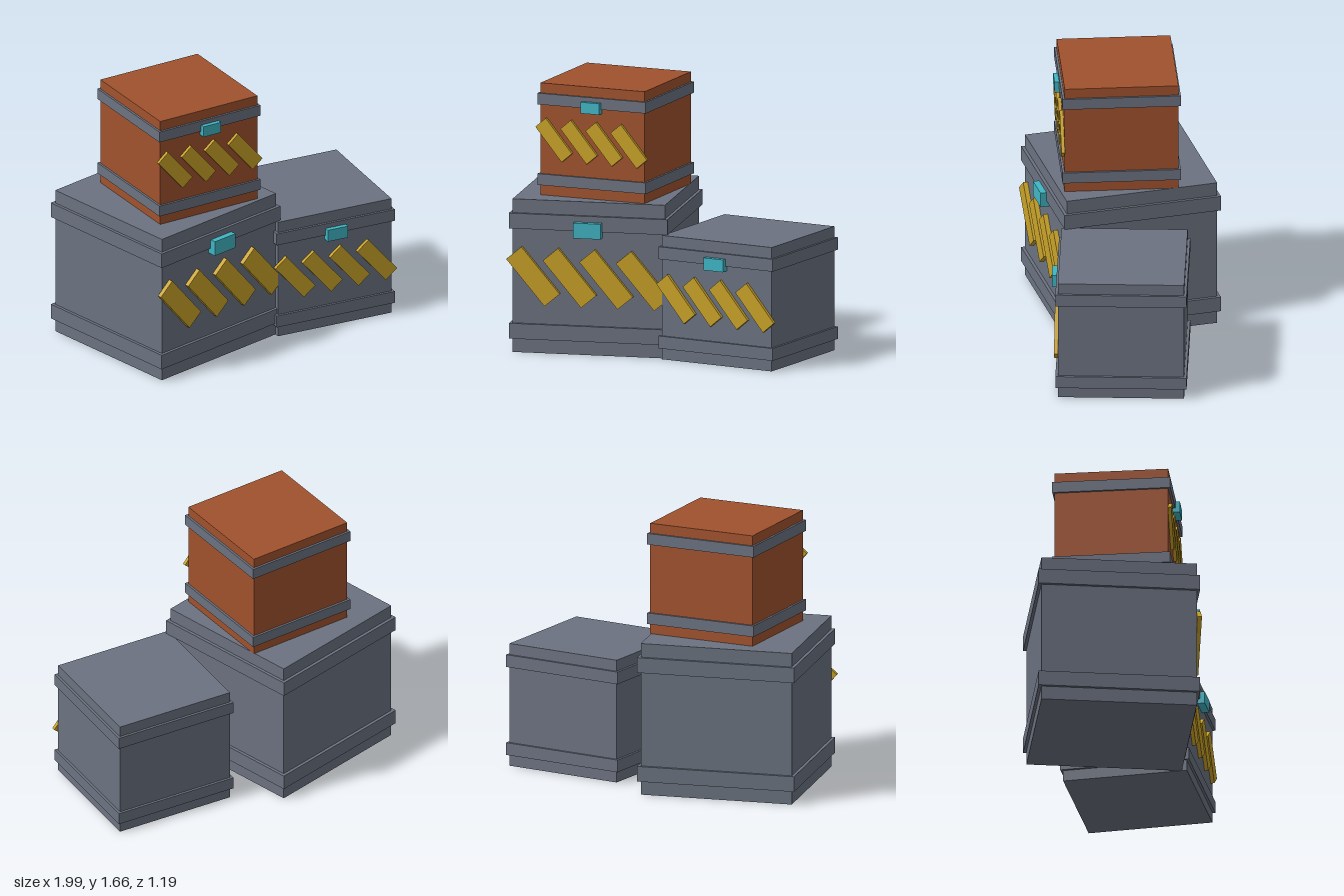
import * as THREE from 'three';

const flat = (name, color) => {
  const m = new THREE.MeshStandardMaterial({ color });
  m.name = name;
  return m;
};

export function createModel() {
  const steel = flat('steelGrey', 0x6b7280);
  const rust = flat('rustOrange', 0xa0522d);
  const yellow = flat('hazardYellow', 0xc9a227);
  const cyan = flat('latchCyan', 0x40b5c4);

  const box = (parent, name, mat, w, h, d, x, y, z) => {
    const mesh = new THREE.Mesh(new THREE.BoxGeometry(w, h, d), mat);
    mesh.name = name;
    mesh.position.set(x, y, z);
    parent.add(mesh);
    return mesh;
  };

  // One unit crate standing on its base, scaled to size and turned about y
  const crate = (name, bodyMat, size, x, y, z, turn) => {
    const g = new THREE.Group();
    g.name = name;
    box(g, 'body', bodyMat, 1, 1, 1, 0, 0.5, 0);

    // Bands wrapping the crate near its base and lid
    box(g, 'lowerBand', steel, 1.04, 0.1, 1.04, 0, 0.14, 0);
    box(g, 'upperBand', steel, 1.04, 0.1, 1.04, 0, 0.86, 0);

    // Slanted warning stripes across the front
    for (let i = 0; i < 4; i++) {
      const stripe = box(g, 'warningStripe', yellow, 0.13, 0.39, 0.03, (i - 1.5) * 0.24, 0.503, 0.515);
      stripe.rotation.z = 0.7;
    }

    // Latch on the upper band
    box(g, 'latch', cyan, 0.18, 0.1, 0.06, 0, 0.82, 0.53);

    g.scale.setScalar(size);
    g.position.set(x, y, z);
    g.rotation.y = turn;
    return g;
  };

  const model = new THREE.Group();
  model.name = 'crateStack';
  model.add(
    crate('largeCrate', steel, 0.958, -0.453, 0, -0.047, 0.1),
    crate('mediumCrate', steel, 0.775, 0.52, 0, 0.11, -0.2),
    crate('topCrate', rust, 0.7, -0.377, 0.958, -0.012, -0.1),
  );
  return model;
}
